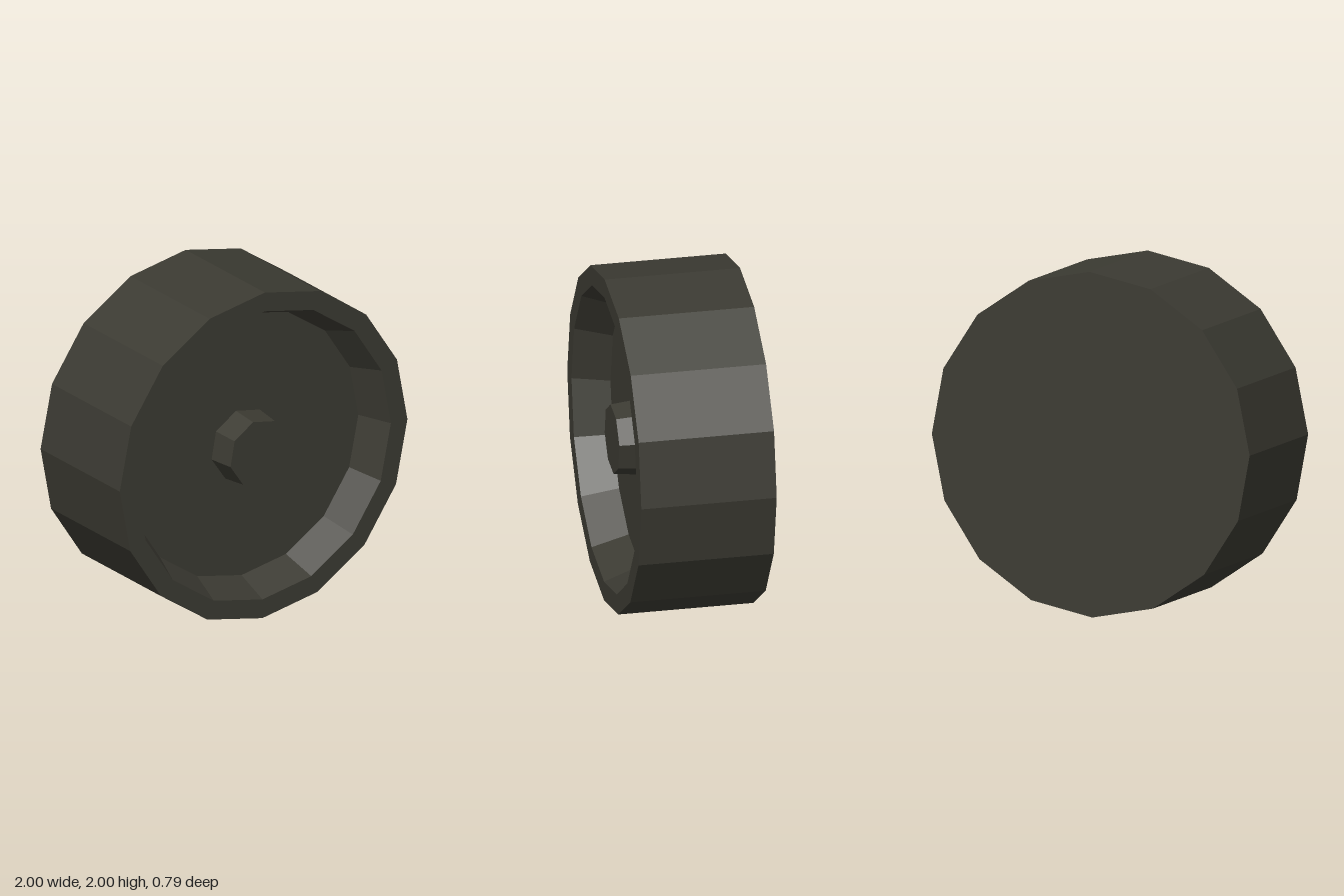
import * as THREE from 'three';

const rubber = new THREE.MeshStandardMaterial({ color: 0x3b3a32 });
rubber.name = 'darkRubber';

// Faceted solid of revolution around z, from [radius, z] points
function turned(name, profile, sides, twist) {
  const points = profile.map(([r, z]) => new THREE.Vector2(r, z));
  const geometry = new THREE.LatheGeometry(points, sides).toNonIndexed();
  geometry.rotateX(Math.PI / 2);
  geometry.rotateZ(THREE.MathUtils.degToRad(twist));
  geometry.computeVertexNormals();
  const mesh = new THREE.Mesh(geometry, rubber);
  mesh.name = name;
  mesh.position.y = 1;
  return mesh;
}

export function createModel() {
  const wheel = new THREE.Group();
  wheel.name = 'wheel';

  // Tyre with flat back and a tapered recess in the front
  wheel.add(turned('tyre', [
    [0, -0.395], [1, -0.395], [1, 0.395], [0.885, 0.395], [0.805, 0.185], [0, 0.185],
  ], 16, -0.5));

  // Slightly tapered eight-sided hub standing on the recess floor
  wheel.add(turned('hub', [[0.22, 0.185], [0.203, 0.35], [0, 0.35]], 8, 12));

  return wheel;
}
